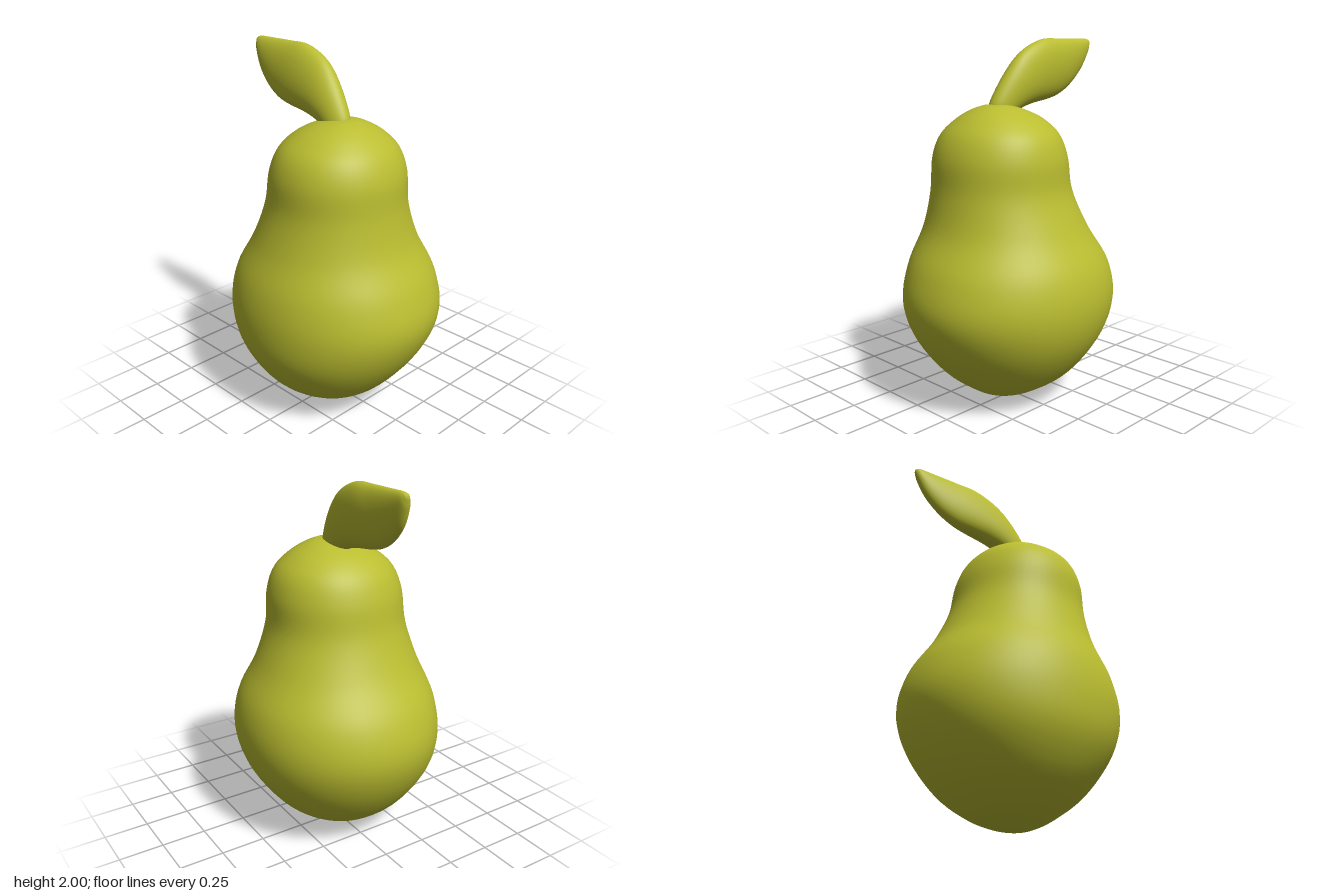
import * as THREE from 'three';

// Smoothly resample a list of number rows (uniform Catmull-Rom on each column)
function resample(rows, steps) {
  const cols = rows[0].map((_, c) => new THREE.CatmullRomCurve3(
    rows.map((r) => new THREE.Vector3(r[c], 0, 0)), false, 'catmullrom', 0.5));
  return Array.from({ length: steps + 1 }, (_, i) => cols.map((k) => k.getPoint(i / steps).x));
}

// Closed skin over equal-sized rings, with a single point at each end
function loft(start, rings, end) {
  const n = rings[0].length;
  const pts = [start, ...rings.flat(), end];
  const index = [];
  const at = (r, k) => 1 + r * n + (k % n);
  const last = pts.length - 1;
  for (let k = 0; k < n; k++) {
    index.push(0, at(0, k), at(0, k + 1));
    for (let r = 0; r < rings.length - 1; r++) {
      const a = at(r, k), b = at(r, k + 1), c = at(r + 1, k), d = at(r + 1, k + 1);
      index.push(a, c, b, b, c, d);
    }
    index.push(last, at(rings.length - 1, k + 1), at(rings.length - 1, k));
  }
  const g = new THREE.BufferGeometry();
  g.setAttribute('position', new THREE.Float32BufferAttribute(pts.flat(), 3));
  g.setIndex(index);
  g.computeVertexNormals();
  return g;
}

const SIDES = 64;
const angles = Array.from({ length: SIDES }, (_, k) => (k / SIDES) * Math.PI * 2);
const soft = (v, p) => Math.sign(v) * Math.abs(v) ** p;

function bodyGeometry() {
  // height, x min, x max, z min, z max
  const rows = resample([
    [0.005, -0.06, 0.00, -0.02, 0.05],
    [0.025, -0.13, 0.08, -0.11, 0.14],
    [0.08, -0.25, 0.20, -0.23, 0.25],
    [0.2, -0.41, 0.36, -0.38, 0.40],
    [0.4, -0.53, 0.50, -0.52, 0.55],
    [0.6, -0.56, 0.555, -0.58, 0.62],
    [0.8, -0.535, 0.53, -0.535, 0.58],
    [1.0, -0.46, 0.43, -0.41, 0.48],
    [1.2, -0.405, 0.355, -0.325, 0.435],
    [1.38, -0.39, 0.34, -0.29, 0.42],
    [1.5, -0.345, 0.30, -0.24, 0.375],
    [1.58, -0.26, 0.22, -0.16, 0.30],
    [1.63, -0.17, 0.13, -0.06, 0.225],
    [1.655, -0.09, 0.06, 0.03, 0.165],
  ], 70);
  const rings = rows.map(([y, x0, x1, z0, z1]) => angles.map((a) => [
    (x0 + x1) / 2 + ((x1 - x0) / 2) * soft(Math.sin(a), 0.96),
    y,
    (z0 + z1) / 2 + ((z1 - z0) / 2) * soft(Math.cos(a), 0.96),
  ]));
  // angles run from +z to +x, so rings climb with their faces outward
  return flip(loft([-0.03, 0, 0.015], rings, [-0.015, 1.663, 0.1]));
}

// Reverse the corner order of every face
function flip(g) {
  const a = g.index.array;
  for (let i = 0; i < a.length; i += 3) [a[i + 1], a[i + 2]] = [a[i + 2], a[i + 1]];
  g.computeVertexNormals();
  return g;
}

function leafGeometry() {
  // upper edge z, y; lower edge z, y; half thickness
  const rows = resample([
    [0.12, 1.60, 0.0, 1.56, 0.055],
    [0.127, 1.67, -0.05, 1.615, 0.065],
    [0.03, 1.83, -0.155, 1.648, 0.08],
    [-0.07, 1.935, -0.29, 1.668, 0.082],
    [-0.21, 1.995, -0.38, 1.69, 0.076],
    [-0.35, 2.0, -0.47, 1.74, 0.062],
    [-0.48, 2.0, -0.55, 1.82, 0.046],
    [-0.57, 2.0, -0.597, 1.91, 0.03],
    [-0.602, 1.995, -0.613, 1.965, 0.014],
  ], 48);
  const rings = rows.map(([uz, uy, lz, ly, w]) => angles.map((a) => {
    const v = (1 + Math.cos(a)) / 2;
    const y = ly + (uy - ly) * v;
    return [w * Math.sin(a) + 0.13 * (y - 1.83), y, lz + (uz - lz) * v];
  }));
  return flip(loft([-0.03, 1.57, 0.06], rings, [0.02, 1.983, -0.615]));
}

// Turn a skin outward if its enclosed volume is negative
function outward(g) {
  const p = g.attributes.position, ix = g.index.array;
  const a = new THREE.Vector3(), b = new THREE.Vector3(), c = new THREE.Vector3();
  let volume = 0;
  for (let i = 0; i < ix.length; i += 3) {
    a.fromBufferAttribute(p, ix[i]);
    b.fromBufferAttribute(p, ix[i + 1]);
    c.fromBufferAttribute(p, ix[i + 2]);
    volume += a.dot(b.cross(c));
  }
  return volume < 0 ? flip(g) : g;
}

export function createModel() {
  const group = new THREE.Group();
  group.name = 'pear';
  const skin = new THREE.MeshStandardMaterial({ color: 0xbabd30 });
  skin.name = 'pear green';

  // Fruit body and the leaf sweeping back from its top
  const parts = { body: bodyGeometry(), leaf: leafGeometry() };
  for (const [name, geometry] of Object.entries(parts)) {
    const mesh = new THREE.Mesh(outward(geometry), skin);
    mesh.name = name;
    group.add(mesh);
  }
  return group;
}
